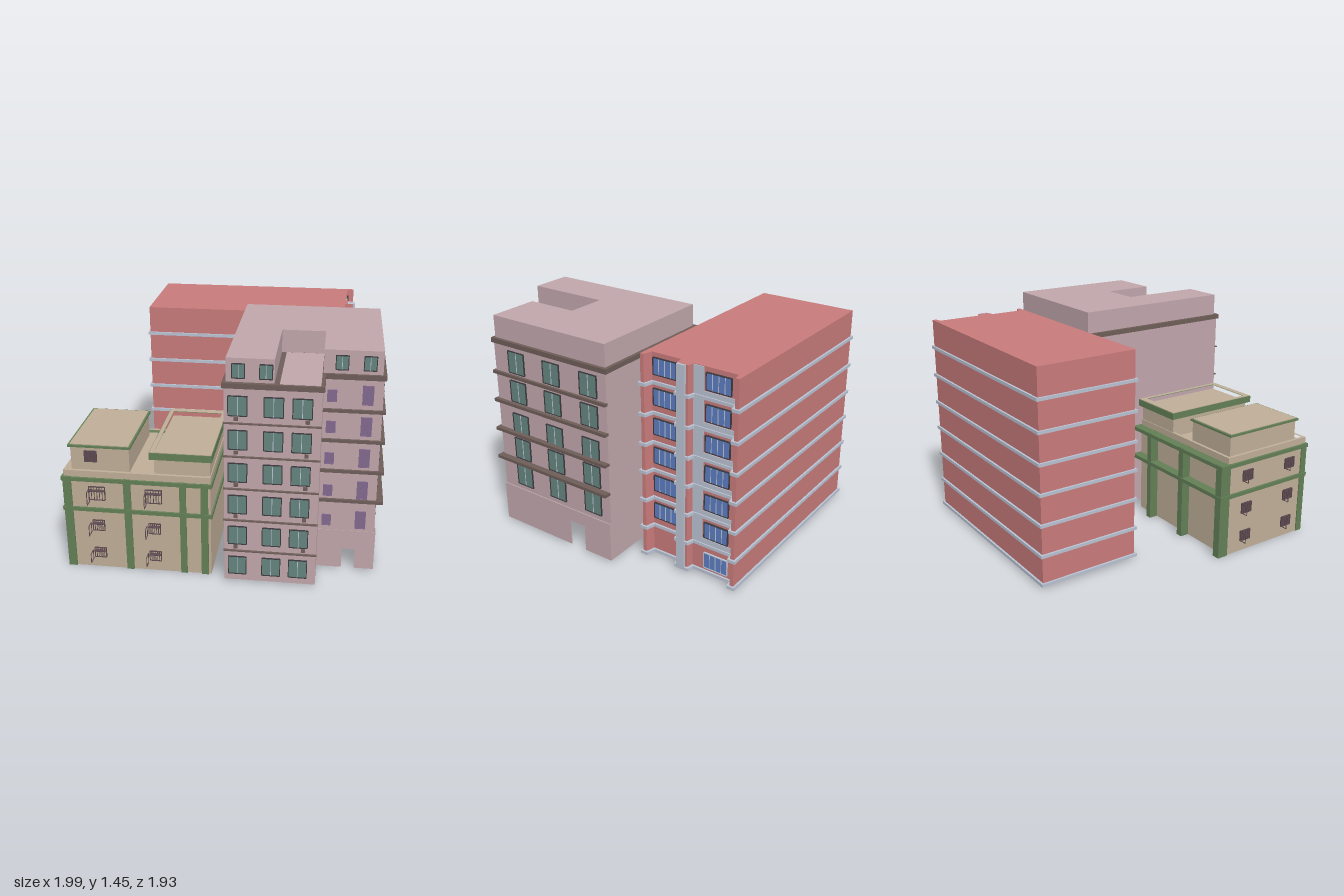
import * as THREE from 'three';

const mat = (color) => new THREE.MeshStandardMaterial({ color, flatShading: true });
const M = {
  red: mat(0xc87a7a), pale: mat(0xb9c2d2), blue: mat(0x5b7cc0),
  mauve: mat(0xc0a6ab), brown: mat(0x6e5d58), teal: mat(0x64857f), dark: mat(0x3c3a3e),
  purple: mat(0x83698f), beige: mat(0xbfae98), green: mat(0x637f56), bars: mat(0x5d4a50),
};

function add(parent, name, geometry, material) {
  const mesh = new THREE.Mesh(geometry, material);
  mesh.name = name;
  parent.add(mesh);
  return mesh;
}

// Box given by its limits on each axis
function box(parent, name, m, x0, x1, y0, y1, z0, z1) {
  const mesh = add(parent, name, new THREE.BoxGeometry(x1 - x0, y1 - y0, z1 - z0), m);
  mesh.position.set((x0 + x1) / 2, (y0 + y1) / 2, (z0 + z1) / 2);
  return mesh;
}

// Vertical prism over a floor plan of [x, z] corners
function prism(parent, name, m, plan, y0, y1, holePlan) {
  const toVec = (p) => p.map(([x, z]) => new THREE.Vector2(x, -z));
  const shape = new THREE.Shape(toVec(plan));
  if (holePlan) shape.holes.push(new THREE.Path(toVec(holePlan)));
  const g = new THREE.ExtrudeGeometry(shape, { depth: y1 - y0, bevelEnabled: false });
  g.rotateX(-Math.PI / 2).translate(0, y0, 0);
  return add(parent, name, g, m);
}

const rect = (x0, x1, z0, z1) => [[x0, z0], [x1, z0], [x1, z1], [x0, z1]];

// Framed window with vertical mullions, turned to face front, right or left
const TURN = { front: 0, right: Math.PI / 2, left: -Math.PI / 2 };
function windowUnit(parent, face, x, y, z, w, h, glass, mullions = 1, frame = M.dark) {
  const g = new THREE.Group();
  g.name = 'window';
  const t = 0.005;
  box(g, 'glass', glass, -w / 2, w / 2, -h / 2, h / 2, -0.004, 0.003);
  for (const s of [-1, 1]) {
    box(g, 'frameSide', frame, s * w / 2 - t / 2, s * w / 2 + t / 2, -h / 2, h / 2, -0.004, 0.007);
    box(g, 'frameRail', frame, -w / 2, w / 2, s * h / 2 - t / 2, s * h / 2 + t / 2, -0.004, 0.007);
  }
  for (let i = 1; i <= mullions; i++) {
    const mx = -w / 2 + (w * i) / (mullions + 1);
    box(g, 'mullion', frame === M.dark ? M.pale : frame, mx - 0.002, mx + 0.002, -h / 2, h / 2, 0, 0.006);
  }
  g.position.set(x, y, z);
  g.rotation.y = TURN[face];
  parent.add(g);
}

// Thin wall with a doorway, drawn in x/y and extruded
function doorWall(parent, name, length, height, d0, d1, dh) {
  const pts = [[0, 0], [d0, 0], [d0, dh], [d1, dh], [d1, 0], [length, 0], [length, height], [0, height]];
  const shape = new THREE.Shape(pts.map(([x, y]) => new THREE.Vector2(x, y)));
  return add(parent, name, new THREE.ExtrudeGeometry(shape, { depth: 0.006, bevelEnabled: false }), M.mauve);
}

function redBuilding() {
  const g = new THREE.Group();
  g.name = 'redBuilding';
  // Plan with recessed bays on the right side, grown by e for the bands
  const plan = (e) => [
    [-0.64 - e, -0.955 - e], [0.77 + e, -0.955 - e], [0.77 + e, -0.93 + e], [0.72 + e, -0.92 + e],
    [0.72 + e, -0.63 - e], [0.765 + e, -0.62 - e], [0.765 + e, -0.545 + e], [0.71 + e, -0.535 + e],
    [0.71 + e, -0.33 - e], [0.77 + e, -0.315 - e], [0.77 + e, -0.29 + e], [-0.64 - e, -0.29 + e]];
  prism(g, 'body', M.red, plan(0), 0.015, 1.37);
  for (const y of [0.025, 0.213, 0.41, 0.605, 0.793, 0.988, 1.183]) {
    prism(g, 'floorBand', M.pale, plan(0.013), y - 0.01, y + 0.01);
  }
  box(g, 'column', M.pale, 0.73, 0.78, 0.015, 1.37, -0.605, -0.548);
  for (let i = 0; i < 6; i++) {
    const y = 0.322 + i * 0.193;
    windowUnit(g, 'right', 0.714, y, -0.425, 0.165, 0.105, M.blue, 3, M.dark);
    box(g, 'palePanel', M.pale, 0.715, 0.725, y - 0.1, y + 0.08, -0.70, -0.625);
    box(g, 'palePanel', M.pale, 0.715, 0.725, y - 0.1, y - 0.065, -0.92, -0.70);
    windowUnit(g, 'right', 0.726, y, -0.80, 0.165, 0.105, M.blue, 3, M.dark);
  }
  windowUnit(g, 'right', 0.724, 0.107, -0.80, 0.165, 0.105, M.blue, 3, M.pale);
  return g;
}

function mauveBuilding() {
  const g = new THREE.Group();
  g.name = 'mauveBuilding';
  const plan = (e) => [[0.05 - e, -0.18 - e], [0.95 + e, -0.18 - e], [0.95 + e, 0.715 + e],
    [0.605 + e, 0.715 + e], [0.605 + e, 0.935 + e], [0.05 - e, 0.935 + e]];
  box(g, 'mainBlock', M.mauve, 0.05, 0.605, 0.015, 1.3, -0.18, 0.935);
  box(g, 'sideWing', M.mauve, 0.605, 0.95, 0.28, 1.3, -0.18, 0.715);
  // Open ground floor under the wing
  doorWall(g, 'frontDoorWall', 0.355, 0.265, 0.155, 0.235, 0.135).position.set(0.605, 0.015, 0.712);
  const side = doorWall(g, 'sideDoorWall', 0.898, 0.265, 0.57, 0.69, 0.175);
  side.position.set(0.954, 0.015, 0.718);
  side.rotation.y = Math.PI / 2;
  box(g, 'backWall', M.mauve, 0.605, 0.96, 0.015, 0.28, -0.18, -0.174);
  // Cornice, terrace and U-shaped top storey
  prism(g, 'cornice', M.brown, plan(0.012), 1.277, 1.308);
  box(g, 'terrace', M.mauve, 0.365, 0.595, 1.29, 1.311, 0.38, 0.93);
  prism(g, 'topStorey', M.mauve, [[0.06, -0.17], [0.94, -0.17], [0.94, 0.71], [0.6, 0.71],
    [0.6, 0.37], [0.335, 0.37], [0.335, 0.92], [0.06, 0.92]], 1.3, 1.45);
  for (const [x, z] of [[0.132, 0.921], [0.288, 0.921], [0.705, 0.711], [0.865, 0.711]]) {
    windowUnit(g, 'front', x, 1.375, z, 0.072, 0.085, M.teal);
  }
  // Brown bands around the wing
  [0.49, 0.69, 0.89, 1.082].forEach((y, i) => {
    const x1 = 0.992 - i * 0.008;
    box(g, 'wingBand', M.brown, 0.94, x1, y - 0.01, y + 0.01, -0.18, 0.73);
    box(g, 'wingBand', M.brown, 0.605, x1, y - 0.01, y + 0.01, 0.7, 0.73);
  });
  // Main block front: windows, ledges and small vents
  for (let i = 0; i < 6; i++) {
    const y = 0.12 + i * 0.21;
    for (const x of [0.13, 0.335, 0.497]) windowUnit(g, 'front', x, y, 0.936, 0.11, 0.12, M.teal);
    if (i === 5) continue;
    box(g, 'ledge', M.brown, 0.046, 0.608, y + 0.101, y + 0.108, 0.93, 0.95);
    for (const x of [0.12, 0.527]) box(g, 'vent', M.brown, x - 0.012, x + 0.012, y + 0.12, y + 0.142, 0.93, 0.945);
  }
  // Wing windows
  [0.385, 0.58, 0.755, 0.98, 1.175].forEach((y) => {
    for (const z of [0.53, 0.243, -0.047]) windowUnit(g, 'right', 0.951, y, z, 0.13, 0.142, M.teal);
  });
  [0.36, 0.565, 0.78, 0.985, 1.182].forEach((y) => {
    windowUnit(g, 'front', 0.655, y - 0.01, 0.716, 0.052, 0.07, M.purple, 1, M.purple);
    windowUnit(g, 'front', 0.862, y, 0.716, 0.06, 0.115, M.purple, 2, M.purple);
  });
  return g;
}

// Open casement: a thin outline frame, w along local x
function casement(parent, x, y, z, w, h, turn) {
  const g = new THREE.Group();
  g.name = 'openCasement';
  const t = 0.004;
  for (const s of [0, 1]) {
    box(g, 'stile', M.bars, s * (w - t), s * (w - t) + t, -h / 2, h / 2, -t / 2, t / 2);
    box(g, 'rail', M.bars, 0, w, s * (h - t) - h / 2, s * (h - t) - h / 2 + t, -t / 2, t / 2);
  }
  g.position.set(x, y, z);
  g.rotation.y = turn;
  parent.add(g);
}

function beigeBuilding() {
  const g = new THREE.Group();
  g.name = 'beigeBuilding';
  box(g, 'body', M.beige, -0.945, -0.04, 0, 0.64, 0.205, 0.875);
  prism(g, 'parapet', M.beige, rect(-0.945, -0.04, 0.205, 0.875), 0.64, 0.67, rect(-0.925, -0.06, 0.225, 0.855));
  for (const y of [0.41, 0.615]) box(g, 'band', M.green, -0.96, -0.03, y - 0.012, y + 0.013, 0.14, 0.888);
  // Front, corner and deep rear pillars
  for (const [x0, x1] of [[-0.952, -0.9], [-0.575, -0.53], [-0.23, -0.19], [-0.1, -0.055]]) {
    box(g, 'frontPillar', M.green, x0, x1, 0, 0.63, 0.84, 0.885);
    if (x0 !== -0.1) box(g, 'rearPillar', M.green, x0, x1, 0, 0.63, 0.145, 0.22);
  }
  // Roof room and roof tray with a raised rim
  box(g, 'roofRoom', M.beige, -0.915, -0.55, 0.64, 0.8, 0.24, 0.8);
  box(g, 'roofRoomRim', M.green, -0.93, -0.54, 0.795, 0.808, 0.228, 0.812);
  box(g, 'roofRoomTop', M.beige, -0.918, -0.552, 0.8, 0.812, 0.24, 0.8);
  windowUnit(g, 'front', -0.79, 0.735, 0.801, 0.075, 0.07, M.bars, 4, M.bars);
  box(g, 'trayBase', M.beige, -0.385, -0.045, 0.64, 0.775, 0.21, 0.85);
  const outer = rect(-0.41, -0.03, 0.185, 0.875), inner = rect(-0.38, -0.06, 0.235, 0.83);
  prism(g, 'trayRim', M.green, outer, 0.77, 0.814, inner);
  prism(g, 'trayCap', M.beige, rect(-0.406, -0.034, 0.19, 0.87), 0.812, 0.818, inner);
  box(g, 'trayFloor', M.beige, -0.385, -0.055, 0.772, 0.785, 0.23, 0.835);
  // Barred windows with open casements
  [[0.105, 0.072, 0.065], [0.3, 0.072, 0.07], [0.523, 0.1, 0.088]].forEach(([y, w, h]) => {
    for (const x of [-0.742, -0.39]) {
      windowUnit(g, 'front', x, y, 0.877, w, h, M.beige, 5, M.bars);
      box(g, 'barRail', M.bars, x - w / 2, x + w / 2, y + h / 4, y + h / 4 + 0.005, 0.878, 0.905);
      casement(g, x - 0.04, y, 0.96, 0.055, h, Math.PI / 2);
    }
    for (const z of [0.37, 0.735]) {
      windowUnit(g, 'left', -0.947, y, z, 0.08, 0.068, M.bars, 4, M.bars);
      casement(g, -1, y, z - 0.04, 0.05, 0.066, 0);
    }
  });
  return g;
}

export function createModel() {
  const model = new THREE.Group();
  model.name = 'apartmentBlocks';
  model.add(redBuilding(), mauveBuilding(), beigeBuilding());
  return model;
}
